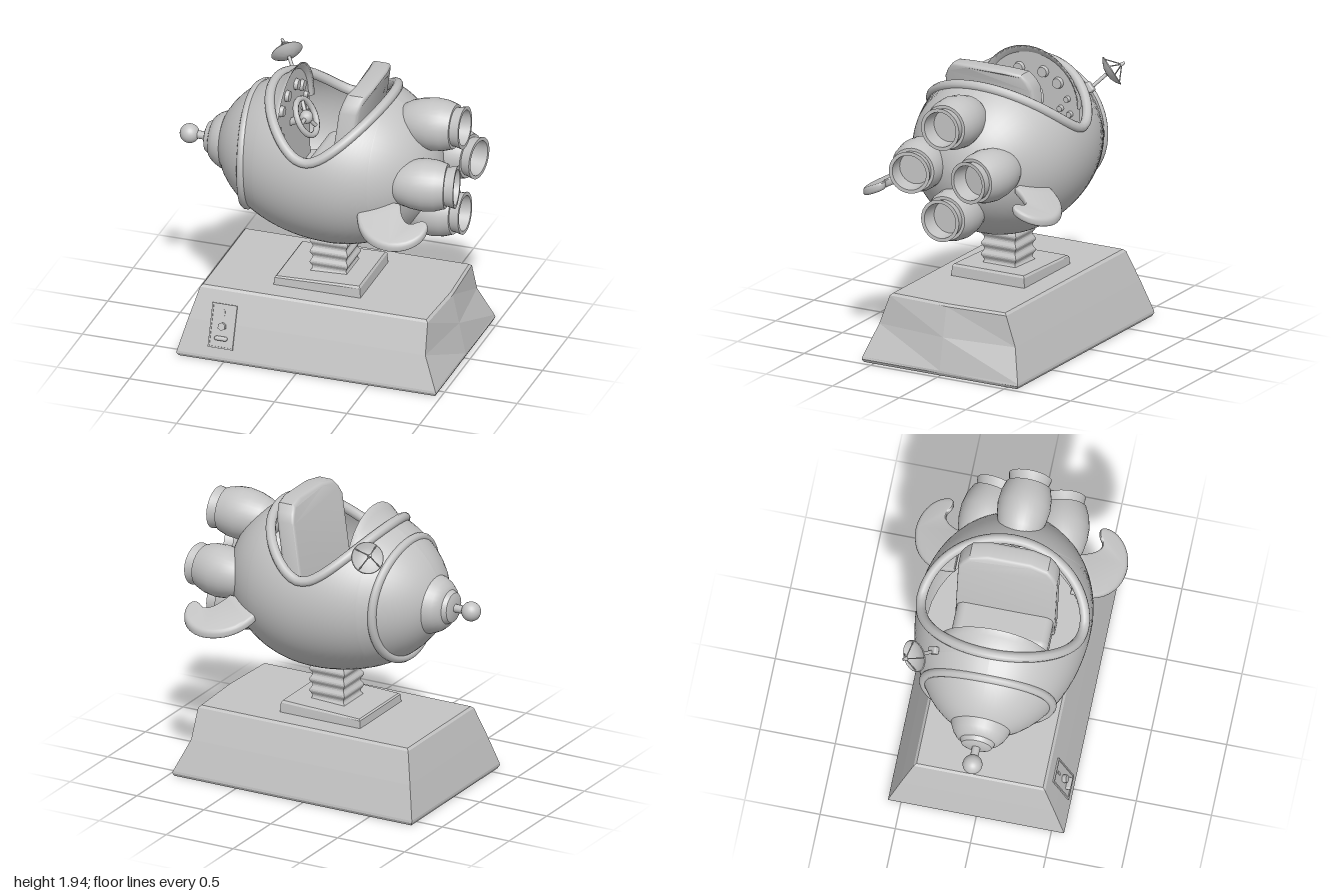
import * as THREE from 'three';
import { RoundedBoxGeometry } from 'three/addons/geometries/RoundedBoxGeometry.js';
import { toCreasedNormals } from 'three/addons/utils/BufferGeometryUtils.js';

const V = (x, y, z) => new THREE.Vector3(x, y, z);
const UP = V(0, 1, 0);
const CY = 1.34; // height of the hull axis

// Hull radius at x: a long nose ellipse joined to a shorter tail ellipse
const hullR = (x) => 0.575 * Math.sqrt(Math.max(0, 1 - ((x - 0.12) / (x < 0.12 ? 0.84 : 0.68)) ** 2));

// Cockpit opening, an ellipse in plan
const OPEN = { x: 0.06, a: 0.4, b: 0.54 };
const openZ = (x) => OPEN.b * Math.sqrt(Math.max(0, 1 - ((x - OPEN.x) / OPEN.a) ** 2));

// Skin over rows of points
function skin(rows) {
  const n = rows[0].length, pos = [], idx = [];
  rows.forEach((row) => row.forEach((p) => pos.push(p.x, p.y, p.z)));
  for (let i = 0; i < rows.length - 1; i++) {
    for (let j = 0; j < n - 1; j++) {
      const a = i * n + j, b = a + 1, c = a + n, d = c + 1;
      idx.push(a, c, b, b, c, d);
    }
  }
  const g = new THREE.BufferGeometry();
  g.setAttribute('position', new THREE.Float32BufferAttribute(pos, 3));
  g.setIndex(idx);
  g.computeVertexNormals();
  return g;
}

// Faceted stack of horizontal rings, closed at both ends
function stack(rings) {
  const closed = rings.map((r) => [...r, r[0]]);
  const cap = (r) => {
    const c = r.reduce((s, p) => s.add(p), V(0, 0, 0)).divideScalar(r.length);
    return [...r, r[0]].map(() => c);
  };
  const g = skin([cap(rings[0]), ...closed, cap(rings.at(-1))]).toNonIndexed();
  g.computeVertexNormals();
  return g;
}

function warp(g, rule) {
  const p = g.attributes.position, v = V(0, 0, 0);
  for (let i = 0; i < p.count; i++) {
    rule(v.fromBufferAttribute(p, i));
    p.setXYZ(i, v.x, v.y, v.z);
  }
  g.computeVertexNormals();
  return toCreasedNormals(g, 0.7);
}

const lathe = (pts, seg = 32) =>
  toCreasedNormals(new THREE.LatheGeometry(pts.map(([r, h]) => new THREE.Vector2(r, h)), seg), 0.6);

export function createModel() {
  const model = new THREE.Group();
  const grey = new THREE.MeshStandardMaterial({ color: 0xc4c4c4, side: THREE.DoubleSide });
  grey.name = 'plain grey';

  const add = (name, geo, parent = model, at = V(0, 0, 0), dir = null) => {
    const m = new THREE.Mesh(geo, grey);
    m.name = name;
    m.position.copy(at);
    if (dir) m.quaternion.setFromUnitVectors(UP, dir.clone().normalize());
    parent.add(m);
    return m;
  };
  const rod = (name, a, b, r, parent = model) =>
    add(name, new THREE.CylinderGeometry(r, r, a.distanceTo(b), 12), parent, a.clone().lerp(b, 0.5), b.clone().sub(a));

  // Base: tapered block with pinched corners on its tail end
  const baseRows = [ // y, left, right corner, right middle, half depth
    [0, -0.81, 0.96, 0.96, 0.575], [0.02, -0.82, 0.97, 0.97, 0.585], [0.035, -0.82, 0.965, 0.97, 0.583],
    [0.25, -0.765, 0.87, 0.925, 0.51], [0.45, -0.71, 0.86, 0.882, 0.437], [0.465, -0.695, 0.845, 0.865, 0.42],
  ];
  add('base', stack(baseRows.map(([y, l, r, m, z]) =>
    [V(l, y, z), V(l, y, -z), V(r, y, -z), V(m, y, 0), V(r, y, z)].reverse())));

  // Mounting plate, slightly raised at the tail
  const plate = (y0, y1, s) => [V(-0.26 + s, y0, 0.275 - s), V(0.34 - s, y1, 0.275 - s),
    V(0.34 - s, y1, -0.275 + s), V(-0.26 + s, y0, -0.275 + s)];
  add('mountingPlate', stack([plate(0.46, 0.46, 0), plate(0.515, 0.53, 0.005), plate(0.525, 0.545, 0.015)]));

  // Bellows pillar
  const ribs = [];
  for (let i = 0; i <= 32; i++) {
    const w = 0.123 + 0.008 * Math.cos(i * Math.PI / 4), y = 0.52 + i * 0.0095;
    ribs.push([V(0.07 - w, y, w), V(0.07 + w, y, w), V(0.07 + w, y, -w), V(0.07 - w, y, -w)]);
  }
  add('bellowsPillar', stack(ribs));

  // Coin panel on the sloping front of the base
  const panel = new THREE.Group();
  panel.name = 'coinPanel';
  panel.position.set(-0.525, 0.23, 0.515);
  panel.rotation.x = -0.343;
  model.add(panel);
  add('panelPlate', new THREE.BoxGeometry(0.165, 0.29, 0.012), panel);
  for (const s of [-1, 1]) {
    add('panelEdge', new THREE.BoxGeometry(0.01, 0.29, 0.024), panel, V(s * 0.08, 0, 0));
    add('panelEdge', new THREE.BoxGeometry(0.17, 0.01, 0.024), panel, V(0, s * 0.142, 0));
  }
  add('coinSlot', new THREE.BoxGeometry(0.016, 0.04, 0.016), panel, V(0, 0.09, 0.004));
  add('hexKnob', new THREE.CylinderGeometry(0.027, 0.027, 0.04, 6).toNonIndexed(), panel, V(0, 0, 0.015), V(0, 0, 1));
  add('coinCup', new RoundedBoxGeometry(0.085, 0.028, 0.04, 2, 0.012), panel, V(0, -0.08, 0.015));

  // Hull: rows around the axis that start and stop at the cockpit opening
  const stations = [];
  for (const [a, b, n] of [[-0.7, -0.34, 10], [-0.34, 0.46, 28], [0.46, 0.8, 14]]) {
    for (let i = 0; i < n; i++) stations.push(a + (b - a) * (0.5 - 0.5 * Math.cos(Math.PI * i / n)));
  }
  stations.push(0.8);
  add('hull', skin(stations.map((x) => {
    const r = hullR(x), t0 = r > 0 ? Math.asin(Math.min(1, openZ(x) / r)) : 0, row = [];
    for (let j = 0; j <= 48; j++) {
      const t = t0 + (2 * Math.PI - 2 * t0) * j / 48;
      row.push(V(x, CY + r * Math.cos(t), r * Math.sin(t)));
    }
    return row;
  })));

  // Padded cockpit rim and nose band follow the hull surface
  const loop = (name, f, r) => {
    const pts = Array.from({ length: 32 }, (_, i) => f(i * Math.PI / 16));
    add(name, new THREE.TubeGeometry(new THREE.CatmullRomCurve3(pts, true), 80, r, 10, true));
  };
  loop('cockpitRim', (t) => {
    const x = OPEN.x + OPEN.a * Math.cos(t), z = OPEN.b * Math.sin(t);
    return V(x, CY + Math.sqrt(hullR(x) ** 2 - z * z), z);
  }, 0.034);
  loop('noseBand', (t) => {
    const x = -0.455 - 0.022 * Math.cos(2 * t), r = hullR(x) - 0.005;
    return V(x, CY - 0.01 + r * Math.cos(t), r * Math.sin(t));
  }, 0.03);

  // Stepped nose cap with a ball on a stem
  const NOSE = V(-1, 0, 0);
  add('noseCap', lathe([[0.2, 0], [0.19, 0.035], [0.17, 0.075], [0.14, 0.11], [0.115, 0.12], [0.11, 0.13],
    [0.1, 0.15], [0.075, 0.16], [0, 0.164]]), model, V(-0.655, 1.325, 0), NOSE);
  rod('noseStem', V(-0.8, 1.325, 0), V(-0.9, 1.325, 0), 0.027);
  add('noseBall', new THREE.SphereGeometry(0.065, 24, 16), model, V(-0.935, 1.325, 0));

  // Four engines with hollow flared nozzles
  const engine = lathe([[0, 0], [0.06, 0.02], [0.105, 0.06], [0.14, 0.12], [0.164, 0.2], [0.175, 0.28], [0.168, 0.36],
    [0.148, 0.425], [0.128, 0.425], [0.13, 0.44], [0.142, 0.49], [0.118, 0.49], [0.108, 0.38], [0, 0.38]]);
  const engines = [['topEngine', 0.965, 1.685, 0, 0.03, 0], ['bottomEngine', 0.965, 1.06, 0, 0.03, 0],
    ['leftEngine', 0.985, 1.36, 0.22, 0, -0.16], ['rightEngine', 0.985, 1.36, -0.22, 0, 0.16]];
  for (const [name, x, y, z, dy, dz] of engines) {
    const dir = V(1, dy, dz).normalize();
    add(name, engine, model, V(x, y, z).addScaledVector(dir, -0.49), dir);
  }

  // Swept fins, drooping outwards
  const finShape = new THREE.Shape();
  finShape.moveTo(0.4, 0.4);
  finShape.bezierCurveTo(0.4, 0.58, 0.53, 0.685, 0.68, 0.685);
  finShape.bezierCurveTo(0.8, 0.68, 0.88, 0.6, 0.87, 0.52);
  finShape.bezierCurveTo(0.86, 0.49, 0.83, 0.5, 0.8, 0.525);
  finShape.bezierCurveTo(0.74, 0.56, 0.68, 0.5, 0.64, 0.4);
  const fin = warp(new THREE.ExtrudeGeometry(finShape, { depth: 0.02, curveSegments: 12, bevelThickness: 0.02,
    bevelSize: 0.018, bevelSegments: 3 }).rotateX(Math.PI / 2), (v) => { v.y += 1.215 - (v.z - 0.46) * 0.47; });
  add('leftFin', fin);
  add('rightFin', fin).scale.z = -1;

  // Cockpit floor
  const floorY = 1.12, floor = add('cockpitFloor', new THREE.CircleGeometry(1, 32).rotateX(-Math.PI / 2), model, V(0.08, floorY, 0));
  floor.scale.set(0.56, 1, 0.51);

  // Seat: rounded cushion and a curved, leaning back
  add('seatCushion', new RoundedBoxGeometry(0.36, 0.24, 0.64, 4, 0.06), model, V(0.1, 1.24, 0));
  const backShape = new THREE.Shape([[-0.31, 1.15], [0.31, 1.15], [0.31, 1.82], [0.285, 1.87], [0.25, 1.91], [0.14, 1.923],
    [-0.14, 1.923], [-0.25, 1.91], [-0.285, 1.87], [-0.31, 1.82]].map(([z, y]) => new THREE.Vector2(z, y)));
  add('seatBack', warp(new THREE.ExtrudeGeometry(backShape, { depth: 0.08, bevelThickness: 0.025, bevelSize: 0.02,
    bevelSegments: 3 }).rotateY(Math.PI / 2), (v) => {
    v.x += 0.275 + (v.y - 1.85) * 0.14 - 0.4 * v.z * v.z;
  }));

  // Dashboard hood sweeping up from the rim, closed by the instrument panel
  const hoodRows = [[-0.36, 1.8, 0.3], [-0.29, 1.845, 0.345], [-0.24, 1.89, 0.365], [-0.205, 1.93, 0.375],
    [-0.215, 1.905, 0.355], [-0.24, 1.87, 0.34]];
  add('dashboardHood', skin(hoodRows.map(([x, top, w]) => Array.from({ length: 25 }, (_, j) => {
    const t = Math.PI * j / 24;
    return V(x, 1.55 + (top - 1.55) * Math.sin(t), w * Math.cos(t));
  }))));
  const dash = new THREE.Shape();
  dash.moveTo(-0.38, floorY);
  dash.lineTo(0.38, floorY);
  dash.lineTo(0.36, 1.55);
  dash.absellipse(0, 1.55, 0.36, 0.33, 0, Math.PI, false);
  add('instrumentPanel', new THREE.ShapeGeometry(dash, 20).rotateY(Math.PI / 2), model, V(-0.235, 0, 0));

  // Gauges and buttons
  const AFT = V(1, 0, 0);
  for (const s of [-1, 1]) {
    [[0.09, 1.76, 0.04], [0.2, 1.7, 0.04], [0.27, 1.6, 0.022], [0.22, 1.53, 0.022], [0.29, 1.5, 0.022]].forEach(([z, y, r]) =>
      add('gauge', new THREE.CylinderGeometry(r * 0.85, r, 0.03, 16), model, V(-0.225, y, s * z), AFT));
  }

  // Steering wheel
  const wheel = new THREE.Group();
  wheel.name = 'steeringWheel';
  wheel.position.set(-0.13, 1.58, 0);
  wheel.quaternion.setFromUnitVectors(V(0, 0, 1), V(0.88, 0.47, 0));
  model.add(wheel);
  add('wheelRing', new THREE.TorusGeometry(0.125, 0.02, 8, 28), wheel);
  add('wheelHub', new THREE.SphereGeometry(0.045, 16, 10), wheel);
  for (let i = 0; i < 3; i++) {
    const a = Math.PI / 2 + i * Math.PI * 2 / 3;
    rod('wheelSpoke', V(0, 0, 0), V(0.12 * Math.cos(a), 0.12 * Math.sin(a), 0), 0.013, wheel);
  }
  rod('steeringColumn', V(-0.25, 1.52, 0), V(-0.13, 1.58, 0), 0.025);

  // Dish aerial behind the nose band
  const dish = new THREE.Group();
  dish.name = 'dishAerial';
  dish.position.set(-0.41, 1.75, -0.46);
  dish.quaternion.setFromUnitVectors(UP, V(-0.55, 0.5, -0.62).normalize());
  model.add(dish);
  add('dishBowl', lathe([[0, 0], [0.04, 0.005], [0.08, 0.022], [0.108, 0.042], [0.104, 0.048], [0.07, 0.026], [0, 0.01]], 24), dish);
  for (let i = 0; i < 4; i++) {
    const a = i * Math.PI / 2;
    rod('dishStrut', V(0.1 * Math.cos(a), 0.04, 0.1 * Math.sin(a)), V(0, 0.12, 0), 0.004, dish);
  }
  add('dishFeed', new THREE.CylinderGeometry(0.009, 0.014, 0.035, 10), dish, V(0, 0.125, 0));
  rod('dishStem', V(-0.33, 1.65, -0.37), V(-0.41, 1.75, -0.46), 0.012);
  add('dishFoot', new RoundedBoxGeometry(0.05, 0.04, 0.07, 2, 0.01), model, V(-0.335, 1.67, -0.38), V(-0.3, 0.66, -0.7));

  return model;
}
